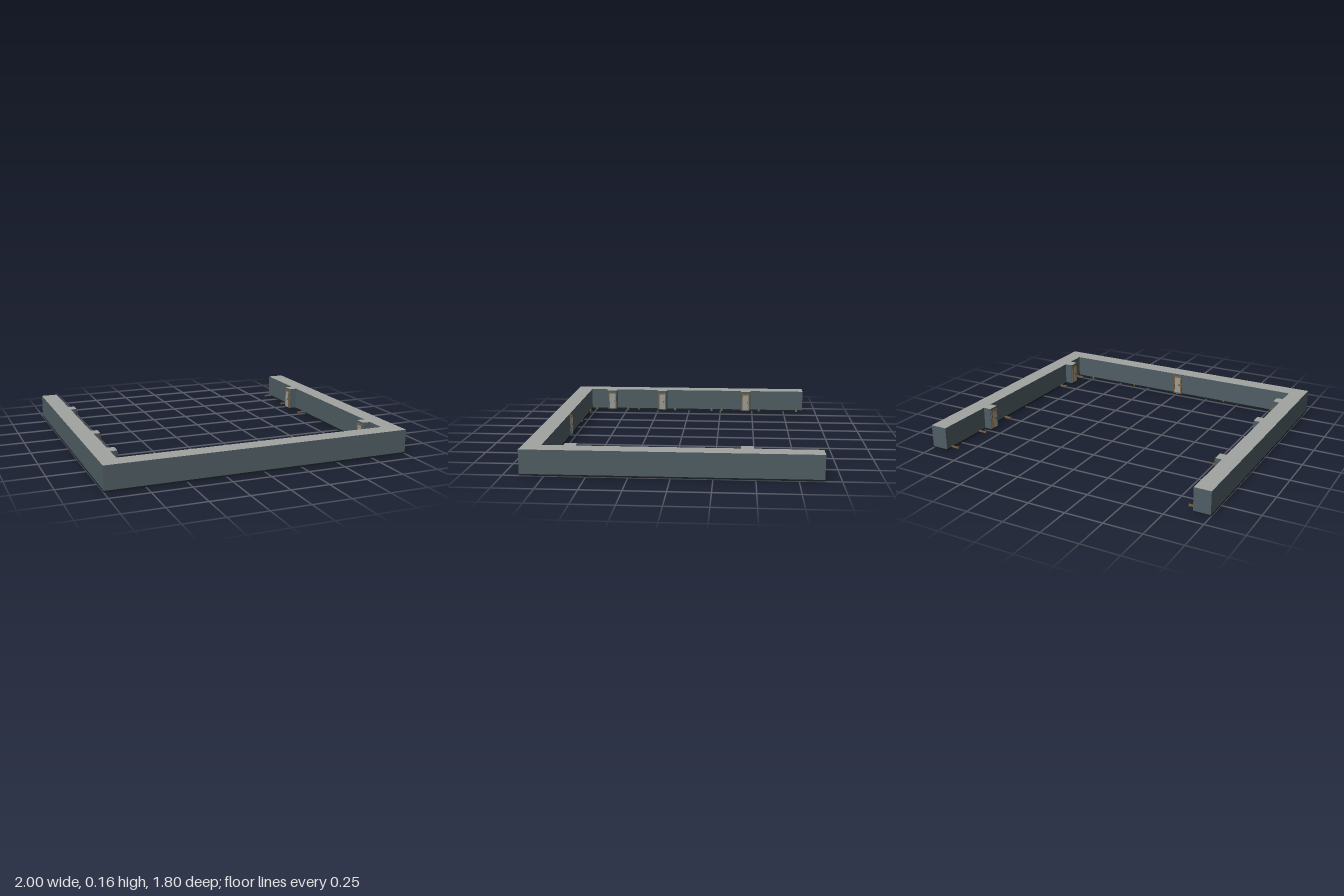
import * as THREE from 'three';

const mat = (name, color, extra) => new THREE.MeshStandardMaterial({ name, color, ...extra });

export function createModel() {
  const slate = mat('slate wall', 0x4f5d63);
  const coping = mat('pale grey top', 0xa1a4a0);
  const dark = mat('dark base', 0x182022);
  const wood = mat('brown wood', 0x80603c);
  const panel = mat('light door panel', 0x9c9c96);

  const model = new THREE.Group();
  const H = 0.16, BASE = 0.01;

  function add(parent, name, geometry, material, x = 0, y = 0, z = 0) {
    const mesh = new THREE.Mesh(geometry, material);
    mesh.name = name;
    mesh.position.set(x, y, z);
    parent.add(mesh);
    return mesh;
  }
  const box = (w, h, d) => new THREE.BoxGeometry(w, h, d);

  // Upright prism over a plan outline given as [x, z] points
  function prism(points, y0, y1) {
    const shape = new THREE.Shape(points.map(([x, z]) => new THREE.Vector2(x, -z)));
    const g = new THREE.ExtrudeGeometry(shape, { depth: y1 - y0, bevelEnabled: false });
    return g.rotateX(-Math.PI / 2).translate(0, y0, 0);
  }
  function standing(name, points) {
    const group = new THREE.Group();
    group.name = name;
    add(group, name + 'Base', prism(points, 0, BASE), dark);
    add(group, name + 'Body', prism(points, BASE, H), [coping, slate]);
    model.add(group);
  }

  // U-shaped wall, open at the back
  standing('wall', [
    [-1, -0.9], [-1, 0.9], [1, 0.9], [1, -0.9],
    [0.887, -0.9], [0.887, 0.785], [-0.89, 0.785], [-0.89, -0.9],
  ]);

  // Door plate built facing +z, origin at the floor on the mounting face
  function door(x, z, turn) {
    const group = new THREE.Group();
    group.name = 'door';
    add(group, 'doorPanel', box(0.046, 0.122, 0.003), panel, 0, 0.073, 0.0015);
    for (const s of [-1, 1]) add(group, 'doorJamb', box(0.007, 0.132, 0.005), wood, s * 0.0265, 0.078, 0.0025);
    add(group, 'doorLintel', box(0.06, 0.01, 0.005), wood, 0, 0.139, 0.0025);
    add(group, 'doorHandle', box(0.005, 0.01, 0.006), dark, 0.014, 0.075, 0.003);
    group.position.set(x, 0, z);
    group.rotation.y = turn;
    model.add(group);
  }

  // Short rod with a broader tip, from the wall face to the tip
  function rod(x, z, length, turn) {
    const group = new THREE.Group();
    group.name = 'rod';
    add(group, 'rodBar', box(0.008, 0.01, length), wood, 0, 0.012, length / 2);
    add(group, 'rodTip', box(0.014, 0.014, 0.005), wood, 0, 0.012, length - 0.0025);
    group.position.set(x, 0, z);
    group.rotation.y = turn;
    model.add(group);
  }

  // Pilasters, doors and rods along both arms
  const arms = [
    { side: -1, face: 0.89, tip: 0.846, doors: [-0.45, 0.215, 0.615],
      rods: [-0.85, -0.555, -0.26, -0.18, 0.112, 0.405, 0.49, 0.74] },
    { side: 1, face: 0.887, tip: 0.832, doors: [-0.45, 0.615],
      rods: [-0.85, -0.555, -0.26, 0.49, 0.74] },
  ];
  for (const { side, face, tip, doors, rods } of arms) {
    const turn = -side * Math.PI / 2;
    for (const z of doors) {
      const outline = [
        [face, z - 0.038], [face, z + 0.038], [tip + 0.006, z + 0.038],
        [tip, z + 0.032], [tip, z - 0.032], [tip + 0.006, z - 0.038],
      ].map(([x, pz]) => [side * x, pz]);
      standing('pilaster', outline);
      door(side * tip, z, turn);
    }
    for (const z of rods) rod(side * face, z, face - tip + 0.002, turn);
  }

  // Front wall: one flush door and short studs on the inner face
  add(model, 'doorSurround', box(0.07, H - 0.004, 0.004), slate, -0.005, H / 2, 0.783);
  door(-0.005, 0.781, Math.PI);
  for (const x of [-0.765, -0.39, 0.375, 0.755]) rod(x, 0.785, 0.009, Math.PI);

  return model;
}
